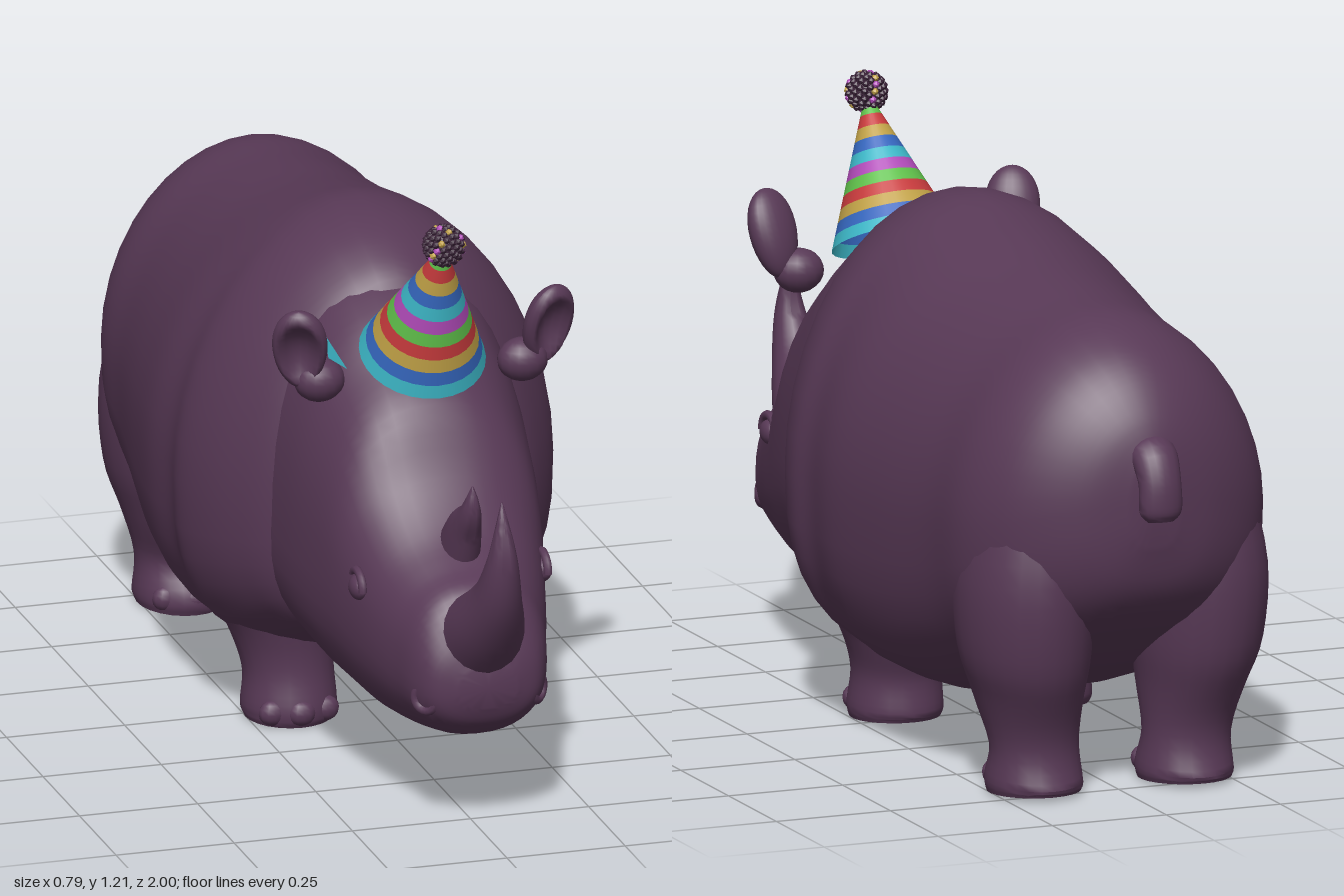
import * as THREE from 'three';
import { mergeGeometries, toCreasedNormals } from 'three/addons/utils/BufferGeometryUtils.js';

const mat = (name, color, side = THREE.FrontSide) => {
  const m = new THREE.MeshStandardMaterial({ color, side });
  m.name = name;
  return m;
};

// Catmull-Rom resampling of rows of numbers
function resample(rows, n) {
  const out = [], last = rows.length - 1;
  for (let i = 0; i <= n; i++) {
    const u = (i / n) * last, k = Math.min(Math.floor(u), last - 1), t = u - k;
    const [p, q, r, s] = [k - 1, k, k + 1, k + 2].map(j => rows[Math.max(0, Math.min(last, j))]);
    out.push(q.map((b, c) => 0.5 * (2 * b + (r[c] - p[c]) * t
      + (2 * p[c] - 5 * b + 4 * r[c] - s[c]) * t * t
      + (3 * b - p[c] - 3 * r[c] + s[c]) * t * t * t)));
  }
  return out;
}

// Skin over closed rings, capped at both ends
function loft(rings) {
  const n = rings[0].length, pos = [], idx = [];
  rings.forEach(ring => ring.forEach(p => pos.push(...p)));
  for (let i = 0; i < rings.length - 1; i++) for (let j = 0; j < n; j++) {
    const a = i * n + j, b = i * n + (j + 1) % n;
    idx.push(a, b, a + n, b, b + n, a + n);
  }
  [0, rings.length - 1].forEach(i => {
    const centre = pos.length / 3;
    pos.push(...[0, 1, 2].map(c => rings[i].reduce((sum, p) => sum + p[c], 0) / n));
    for (let j = 0; j < n; j++) {
      const a = i * n + j, b = i * n + (j + 1) % n;
      if (i === 0) idx.push(centre, b, a); else idx.push(centre, a, b);
    }
  });
  const g = new THREE.BufferGeometry();
  g.setAttribute('position', new THREE.Float32BufferAttribute(pos, 3));
  g.setIndex(idx);
  return toCreasedNormals(g, 0.9);
}

// Egg-shaped sections along z, rows: z, top, bottom, half width, widest height
function trunkForm(rows, steps, eTop, eBottom) {
  return loft(resample(rows, steps).map(([z, top, bottom, w, mid]) => {
    const ring = [];
    for (let j = 0; j < 40; j++) {
      const a = (j / 40) * Math.PI * 2, c = Math.cos(a), s = Math.sin(a);
      const e = 2 / (s >= 0 ? eTop : eBottom);
      const h = s >= 0 ? top - mid : mid - bottom;
      ring.push([w * Math.sign(c) * Math.abs(c) ** e, mid + h * Math.sign(s) * Math.abs(s) ** e, z]);
    }
    return ring;
  }));
}

// Tapered sweep, rows: x, y, z, half width across, half depth
function sweep(rows, steps, sides = 20) {
  const pts = resample(rows, steps);
  return loft(pts.map(([x, y, z, rx, rn], i) => {
    const p = pts[Math.max(0, i - 1)], q = pts[Math.min(steps, i + 1)];
    const len = Math.hypot(q[1] - p[1], q[2] - p[2]);
    const ty = (q[1] - p[1]) / len, tz = (q[2] - p[2]) / len;
    return Array.from({ length: sides }, (_, j) => {
      const a = (j / sides) * Math.PI * 2, c = Math.cos(a) * rx, s = Math.sin(a) * rn;
      return [x + c, y + tz * s, z - ty * s];
    });
  }));
}

// Leaf-like ear with a hollow front
function earForm() {
  const g = new THREE.SphereGeometry(1, 24, 18), p = g.attributes.position;
  for (let i = 0; i < p.count; i++) {
    const x = p.getX(i), y = p.getY(i), z = p.getZ(i);
    const dent = z > 0 ? 0.045 * Math.max(0, 1 - 1.6 * (x * x + y * y)) : 0;
    p.setXYZ(i, x * 0.056 * (1 + 0.12 * y), y * 0.093, z * 0.037 - dent);
  }
  g.computeVertexNormals();
  return g;
}

export function createModel() {
  const root = new THREE.Group();
  root.name = 'rhinoceros';
  const D = THREE.DoubleSide;
  const plum = mat('plumSkin', 0x583956);
  const dark = mat('darkPompom', 0x3a2338);
  const stripes = [
    mat('teal', 0x3cb6c6, D), mat('blue', 0x3566bd, D), mat('yellow', 0xbfa046, D),
    mat('red', 0xc63a3c, D), mat('green', 0x5fbf4a, D), mat('magenta', 0xb04ab8, D),
  ];
  const add = (name, geometry, material, parent = root) => {
    const m = new THREE.Mesh(geometry, material);
    m.name = name;
    parent.add(m);
    return m;
  };

  // Torso
  add('torso', trunkForm([
    [-0.945, 0.73, 0.54, 0.05, 0.63], [-0.92, 0.805, 0.45, 0.14, 0.62], [-0.87, 0.88, 0.38, 0.225, 0.6],
    [-0.8, 0.935, 0.32, 0.29, 0.58], [-0.7, 0.972, 0.25, 0.333, 0.56], [-0.55, 0.985, 0.18, 0.345, 0.54],
    [-0.35, 1.01, 0.12, 0.375, 0.53], [-0.18, 1.045, 0.11, 0.395, 0.53], [-0.06, 1.073, 0.115, 0.388, 0.53],
    [0.02, 1.077, 0.13, 0.395, 0.52], [0.1, 1.065, 0.16, 0.375, 0.52], [0.18, 1.035, 0.2, 0.335, 0.52],
    [0.25, 0.985, 0.24, 0.278, 0.52], [0.3, 0.9, 0.32, 0.19, 0.52],
  ], 64, 1.9, 2.8), plum);

  // Neck and head
  add('head', trunkForm([
    [0.05, 0.95, 0.27, 0.26, 0.5], [0.18, 0.99, 0.21, 0.274, 0.48], [0.3, 0.95, 0.18, 0.264, 0.46],
    [0.4, 0.88, 0.165, 0.25, 0.45], [0.5, 0.8, 0.155, 0.23, 0.44], [0.58, 0.67, 0.155, 0.21, 0.41],
    [0.66, 0.585, 0.165, 0.188, 0.38], [0.74, 0.535, 0.18, 0.163, 0.35], [0.81, 0.5, 0.2, 0.142, 0.33],
    [0.855, 0.42, 0.235, 0.112, 0.32], [0.875, 0.36, 0.275, 0.06, 0.315],
  ], 50, 2.4, 2.3), plum);

  // Horns and tail
  add('frontHorn', sweep([
    [0, 0.39, 0.78, 0.095, 0.1], [0, 0.455, 0.865, 0.078, 0.076], [0, 0.535, 0.935, 0.05, 0.053],
    [0, 0.62, 0.968, 0.032, 0.033], [0, 0.69, 0.97, 0.016, 0.016], [0, 0.745, 0.964, 0.002, 0.002],
  ], 25), plum);
  add('rearHorn', sweep([
    [0, 0.53, 0.66, 0.045, 0.065], [0, 0.6, 0.705, 0.035, 0.047], [0, 0.645, 0.745, 0.024, 0.028],
    [0, 0.68, 0.76, 0.014, 0.016], [0, 0.712, 0.765, 0.002, 0.002],
  ], 20), plum);
  add('tail', sweep([
    [0, 0.71, -0.87, 0.055, 0.05], [0, 0.725, -0.93, 0.05, 0.042], [0, 0.68, -0.965, 0.045, 0.032],
    [0, 0.62, -0.97, 0.045, 0.03], [0, 0.598, -0.972, 0.028, 0.018],
  ], 20), plum);

  for (const s of [1, -1]) {
    const side = s > 0 ? 'left' : 'right';
    // Legs with toes
    const leg = (name, rows) =>
      add(side + name, sweep(rows.map(([y, x, z, rx, rz]) => [x * s, y, z, rx, rz]), 24, 24), plum);
    leg('FrontLeg', [
      [0, 0.163, 0.03, 0.092, 0.095], [0.025, 0.163, 0.03, 0.098, 0.102], [0.1, 0.163, 0.025, 0.093, 0.093],
      [0.18, 0.175, 0.015, 0.105, 0.108], [0.27, 0.197, 0.01, 0.128, 0.125], [0.4, 0.22, 0.01, 0.13, 0.13],
    ]);
    leg('HindLeg', [
      [0, 0.165, -0.7, 0.094, 0.105], [0.025, 0.165, -0.7, 0.099, 0.11], [0.1, 0.167, -0.706, 0.092, 0.088],
      [0.2, 0.178, -0.702, 0.11, 0.13], [0.3, 0.188, -0.705, 0.132, 0.162], [0.45, 0.19, -0.705, 0.138, 0.175],
      [0.62, 0.17, -0.7, 0.125, 0.15],
    ]);
    for (const z of [0.03, -0.7]) for (const k of [-1, 0, 1]) {
      const toe = add(side + 'Toe', new THREE.SphereGeometry(0.03, 12, 8), plum);
      toe.scale.set(1, 0.9, 0.7);
      toe.position.set(s * 0.163 + k * 0.055, 0.027, z + 0.09 - Math.abs(k) * 0.018);
    }

    // Ears
    const ear = add(side + 'Ear', earForm(), plum);
    ear.position.set(s * 0.262, 0.922, 0.43);
    ear.rotation.set(0.32, s * 0.35, -s * 0.12);
    const earBase = add(side + 'EarBase', new THREE.SphereGeometry(0.048, 16, 12), plum);
    earBase.scale.set(1.1, 0.95, 0.9);
    earBase.position.set(s * 0.215, 0.845, 0.41);

    // Eyelids, brows and nostrils
    const eyelid = add(side + 'Eyelid', new THREE.SphereGeometry(0.032, 16, 12), plum);
    eyelid.scale.set(0.6, 0.8, 1);
    eyelid.position.set(s * 0.194, 0.465, 0.61);
    const brow = add(side + 'Brow', new THREE.TorusGeometry(0.036, 0.009, 8, 16, Math.PI), plum);
    brow.position.set(s * 0.196, 0.465, 0.61);
    brow.rotation.y = Math.PI / 2;
    const nostril = add(side + 'Nostril', new THREE.TorusGeometry(0.024, 0.011, 10, 18), plum);
    nostril.position.set(s * 0.118, 0.29, 0.825);
    nostril.rotation.y = s * 0.85;
  }

  // Thin coloured scrap inside the right ear
  const scrap = new THREE.Shape([[-0.212, 0.95], [-0.205, 0.9], [-0.165, 0.872]].map(p => new THREE.Vector2(...p)));
  add('earScrap', new THREE.ShapeGeometry(scrap), stripes[0]).position.z = 0.44;

  // Striped party hat, tilted forward
  const hat = new THREE.Group();
  hat.name = 'partyHat';
  hat.position.set(0, 0.885, 0.42);
  hat.rotation.x = 0.49;
  root.add(hat);
  const bands = 11, H = 0.29, radius = k => 0.13 - 0.118 * (k / bands);
  for (let k = 0; k < bands; k++) {
    const band = new THREE.CylinderGeometry(radius(k + 1), radius(k), H / bands, 28, 1, true);
    add('hatStripe', band, stripes[k % 6], hat).position.y = (k + 0.5) * H / bands;
  }

  // Tufted pompom with a few bright flecks
  const tufts = { dark: [], yellow: [], magenta: [] };
  for (let k = 0; k < 110; k++) {
    const y = 1 - 2 * (k + 0.5) / 110, r = Math.sqrt(1 - y * y), a = k * 2.39996;
    const g = new THREE.IcosahedronGeometry(0.008, 0);
    g.translate(0.038 * r * Math.cos(a), 0.315 + 0.038 * y, 0.038 * r * Math.sin(a));
    tufts[k % 14 === 0 ? 'yellow' : k % 14 === 7 ? 'magenta' : 'dark'].push(g);
  }
  add('pompomCore', new THREE.SphereGeometry(0.037, 16, 12), dark, hat).position.y = 0.315;
  add('pompomTufts', mergeGeometries(tufts.dark), dark, hat);
  add('pompomYellowFlecks', mergeGeometries(tufts.yellow), stripes[2], hat);
  add('pompomMagentaFlecks', mergeGeometries(tufts.magenta), stripes[5], hat);

  return root;
}
